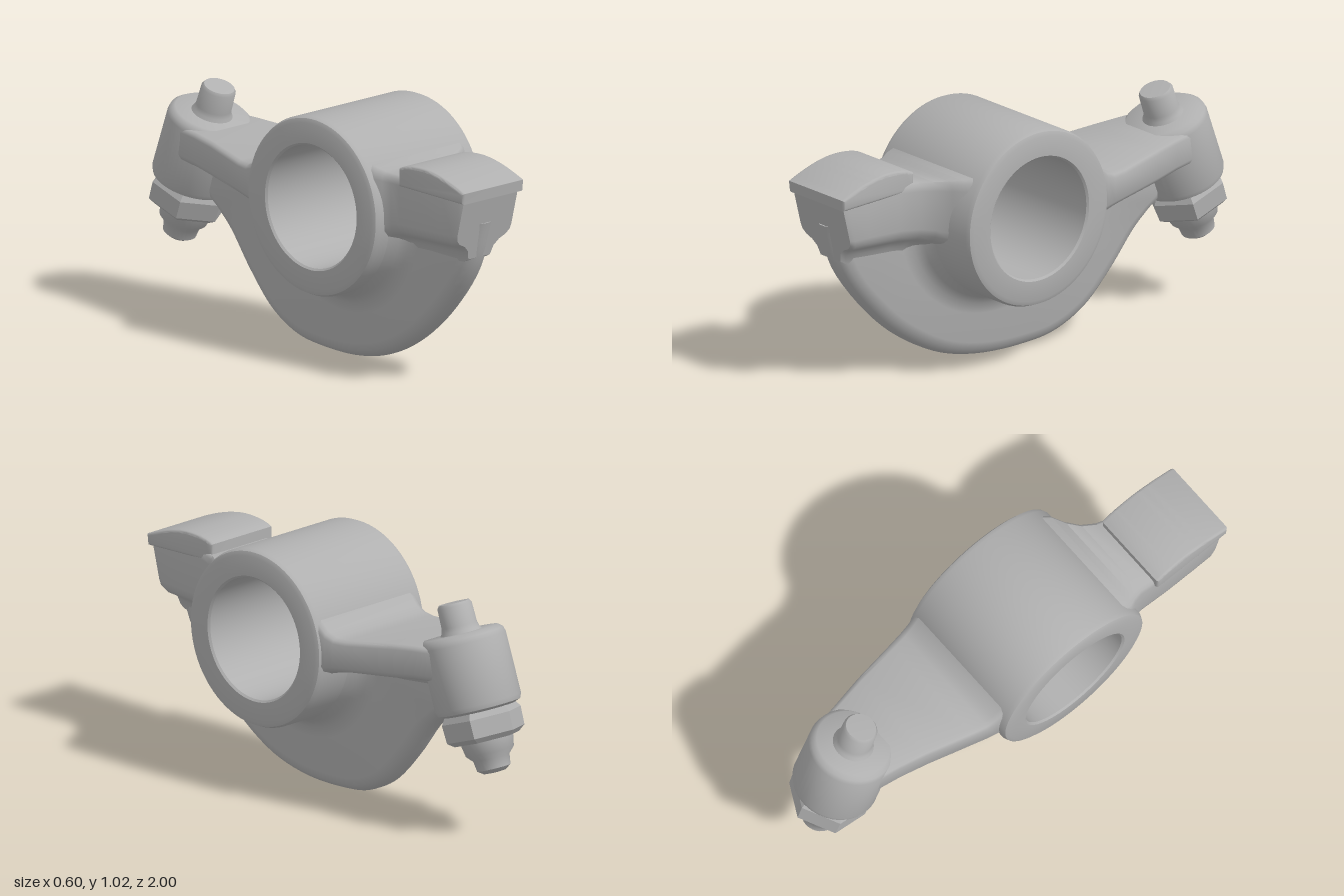
import * as THREE from 'three';
import { toCreasedNormals } from 'three/addons/utils/BufferGeometryUtils.js';

const metal = new THREE.MeshStandardMaterial({ color: 0xb0b0b0 });
metal.name = 'cast metal';

const HUB_Y = 0.655, HUB_Z = 0.175, HUB_R = 0.365, BORE_R = 0.25;

function part(name, geometry, crease = 0.7) {
  const mesh = new THREE.Mesh(toCreasedNormals(geometry, crease), metal);
  mesh.name = name;
  return mesh;
}

// Skin a list of equal closed rings, capping both ends
function loft(rings) {
  const n = rings[0].length, pos = [], idx = [];
  rings.forEach(r => r.forEach(p => pos.push(p.x, p.y, p.z)));
  for (let i = 0; i < rings.length - 1; i++) {
    for (let j = 0; j < n; j++) {
      const a = i * n + j, b = i * n + (j + 1) % n;
      idx.push(a, b, b + n, a, b + n, a + n);
    }
  }
  [0, rings.length - 1].forEach((r, end) => {
    const c = new THREE.Vector3();
    rings[r].forEach(p => c.addScaledVector(p, 1 / n));
    const ci = pos.length / 3;
    pos.push(c.x, c.y, c.z);
    for (let j = 0; j < n; j++) {
      const a = r * n + j, b = r * n + (j + 1) % n;
      if (end) idx.push(ci, a, b); else idx.push(ci, b, a);
    }
  });
  const g = new THREE.BufferGeometry();
  g.setAttribute('position', new THREE.Float32BufferAttribute(pos, 3));
  g.setIndex(idx);
  return g;
}

// Solid of revolution from [radius, y] points, listed bottom to top
function turned(points, segments = 40) {
  return new THREE.LatheGeometry(points.map(p => new THREE.Vector2(p[0], p[1])), segments);
}

// Centre line of the slightly skewed web
const webX = z => -0.035 - 0.069 * z;

// Flange cross-section: flat top, rounded corners, underside filleted down to the web
function flangeRing(z, x0, x1, top, bottom, shear = 0) {
  const half = [[1, 0.3], [1, 0.88], [0.97, 0.96], [0.9, 1]];
  const c = (x0 + x1) / 2, w = (x1 - x0) / 2, h = top - bottom, ring = [];
  const add = (x, y) => ring.push(new THREE.Vector3(x, y, z + shear * (y - 0.7)));
  const stem = webX(z);
  const under = [[0, -0.2], [0.12, -0.04], [0.4, 0.06], [0.75, 0.12], [0.95, 0.2]];
  const side = (s, [t, v]) => add(THREE.MathUtils.lerp(stem + s * 0.06, c + s * w, t), bottom + v * h);
  under.forEach(u => side(1, u));
  half.forEach(([u, v]) => add(c + u * w, bottom + v * h));
  [...half].reverse().forEach(([u, v]) => add(c - u * w, bottom + v * h));
  [...under].reverse().forEach(u => side(-1, u));
  return ring;
}

// Bored hub with softened rims
function makeHub() {
  const L = 0.3, b = 0.025, e = 0.008;
  const g = turned([
    [BORE_R, L - e], [BORE_R, -L + e], [BORE_R + e, -L],
    [HUB_R - b, -L], [HUB_R - b * 0.3, -L + b * 0.3], [HUB_R, -L + b],
    [HUB_R, L - b], [HUB_R - b * 0.3, L - b * 0.3], [HUB_R - b, L],
    [BORE_R + e, L], [BORE_R, L - e],
  ], 80);
  g.rotateZ(Math.PI / 2);
  g.translate(0, HUB_Y, HUB_Z);
  return part('hub', g);
}

// Crescent web below the hub: filleted at the hub, rounded along its outer edge
function makeWeb() {
  const outline = new THREE.CatmullRomCurve3([
    [0.965, 0.7], [0.9, 0.5], [0.76, 0.31], [0.6, 0.165], [0.4, 0.055], [0.2, 0.01],
    [0, 0.008], [-0.15, 0.03], [-0.3, 0.105], [-0.43, 0.235], [-0.55, 0.385],
    [-0.62, 0.45], [-0.7, 0.52], [-0.72, 0.62],
  ].map(([z, y]) => new THREE.Vector3(0, y, z)));
  const inner = [[0.34, 0.2], [0.365, 0.15], [0.385, 0.105], [0.415, 0.078], [0.46, 0.067]];
  const outer = [[0.06, 0.065], [0.03, 0.056], [0.01, 0.037], [0, 0.012]];
  const rings = outline.getPoints(64).map(p => {
    const dy = p.y - HUB_Y, dz = p.z - HUB_Z, R = Math.hypot(dy, dz);
    const profile = [...inner, ...outer.map(([d, h]) => [R - d, h])];
    const at = (r, h) => {
      const z = HUB_Z + dz / R * r;
      return new THREE.Vector3(webX(z) + h, HUB_Y + dy / R * r, z);
    };
    return [...profile.map(([r, h]) => at(r, h)),
      ...profile.reverse().map(([r, h]) => at(r, -h))];
  });
  return part('web', loft(rings), 0.9);
}

// Front arm, flaring into the hub
function makeFrontArm() {
  return part('frontArm', loft([
    [0.44, -0.28, 0.285, 0.88, 0.5],
    [0.5, -0.27, 0.24, 0.865, 0.53],
    [0.53, -0.255, 0.185, 0.855, 0.55],
    [0.57, -0.245, 0.135, 0.85, 0.565],
    [0.62, -0.25, 0.1, 0.85, 0.575],
    [0.7, -0.255, 0.07, 0.85, 0.58],
    [0.85, -0.257, 0.058, 0.85, 0.585, 0.12],
    [0.935, -0.257, 0.055, 0.84, 0.59, 0.25],
    [0.957, -0.25, 0.05, 0.835, 0.6, 0.25],
  ].map(s => flangeRing(...s))), 0.8);
}

// Curved contact pad on the front arm
function makePad() {
  const b = 0.012;
  const s = new THREE.Shape();
  s.moveTo(-0.645, 0.83);
  s.lineTo(-0.985, 0.82);
  s.lineTo(-0.988, 0.846);
  s.quadraticCurveTo(-0.85, 0.904, -0.76, 0.903);
  s.quadraticCurveTo(-0.68, 0.902, -0.645, 0.884);
  s.closePath();
  const g = new THREE.ExtrudeGeometry(s, {
    depth: 0.34 - 2 * b, bevelThickness: b, bevelSize: b, bevelSegments: 3, curveSegments: 10,
  });
  g.rotateY(Math.PI / 2);
  g.translate(-0.268 + b, 0, 0);
  return part('contactPad', g);
}

// Tapered rear arm
function makeRearArm() {
  return part('rearArm', loft([
    [-0.75, -0.145, 0.185, 0.79, 0.63],
    [-0.62, -0.165, 0.21, 0.783, 0.62],
    [-0.5, -0.19, 0.235, 0.772, 0.605],
    [-0.3, -0.24, 0.268, 0.745, 0.585],
    [-0.24, -0.255, 0.277, 0.745, 0.575],
    [-0.2, -0.262, 0.282, 0.762, 0.56],
    [-0.16, -0.268, 0.286, 0.8, 0.535],
    [-0.1, -0.27, 0.288, 0.87, 0.48],
  ].map(s => flangeRing(...s))), 0.8);
}

// Tilted boss holding the adjusting screw and its lock nut
function makeAdjuster() {
  const group = new THREE.Group();
  group.name = 'adjuster';
  const boss = part('boss', turned([
    [0, -0.315], [0.145, -0.315], [0.168, -0.305], [0.175, -0.285],
    [0.174, -0.035], [0.168, -0.014], [0.15, 0], [0, 0],
  ], 48));
  const nut = part('lockNut', turned([
    [0, -0.435], [0.135, -0.435], [0.162, -0.415], [0.165, -0.34], [0.145, -0.31], [0, -0.31],
  ], 6), 0.4);
  const pin = part('screwTop', turned([
    [0.09, -0.01], [0.077, 0.012], [0.072, 0.03], [0.07, 0.11], [0.062, 0.122], [0, 0.125],
  ], 28));
  const tip = part('screwTip', turned([
    [0, -0.572], [0.045, -0.568], [0.068, -0.552], [0.074, -0.51], [0.098, -0.485],
    [0.108, -0.43], [0, -0.42],
  ], 28));
  group.add(boss, nut, pin, tip);
  group.position.set(0.022, 0.82, -0.705);
  group.rotation.x = 0.338;
  return group;
}

export function createModel() {
  const model = new THREE.Group();
  model.name = 'rockerArm';
  model.add(makeHub(), makeWeb(), makeFrontArm(), makePad(), makeRearArm(), makeAdjuster());
  return model;
}
